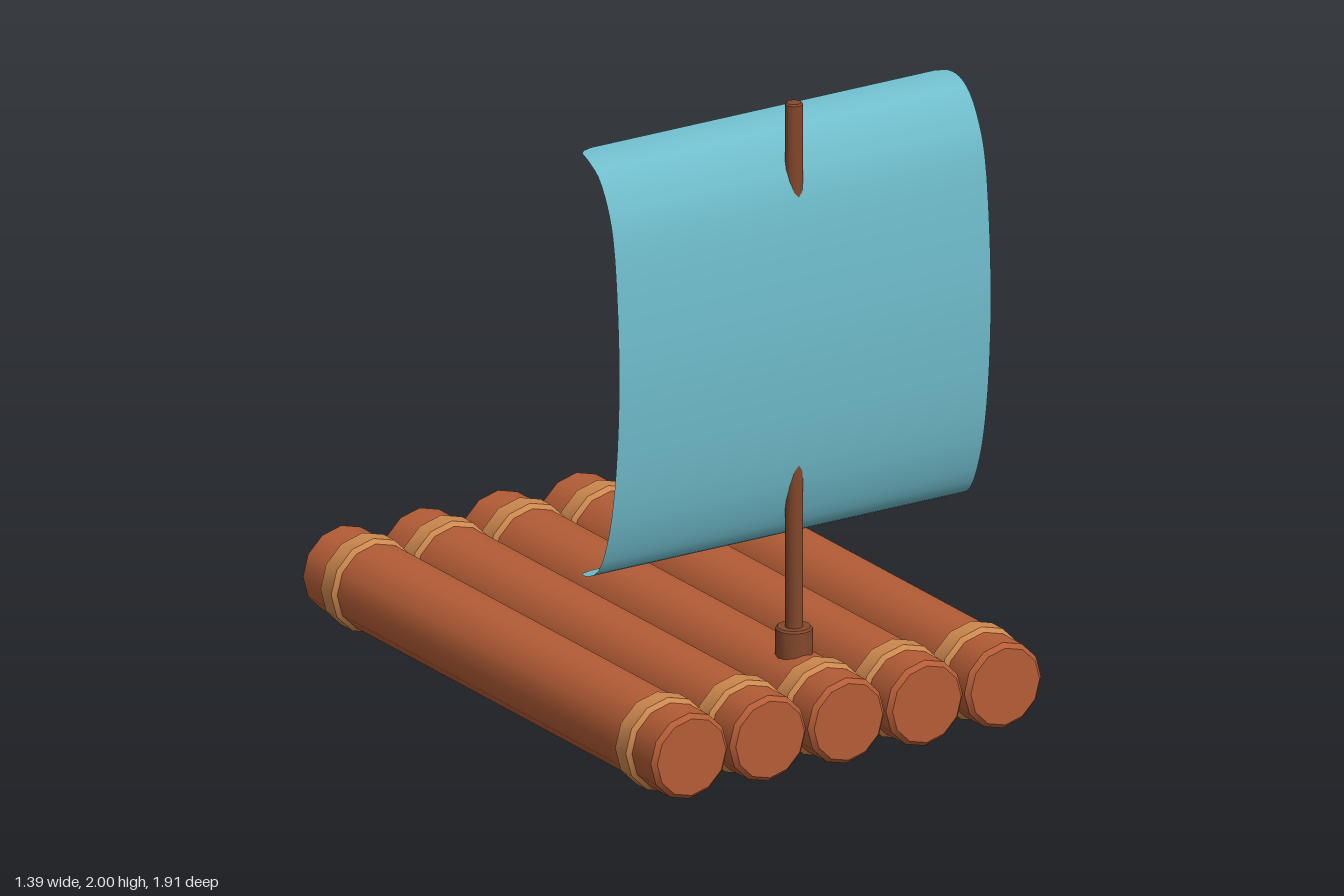
import * as THREE from 'three';
import { toCreasedNormals } from 'three/addons/utils/BufferGeometryUtils.js';

const material = (name, color, side = THREE.FrontSide) => {
  const m = new THREE.MeshStandardMaterial({ color, side });
  m.name = name;
  return m;
};

// Closed round bar along y with bevelled ends, centred on the origin
function bar(radius, length, bevel, sides) {
  const h = length / 2;
  const profile = [
    [0, -h], [radius - bevel, -h], [radius, -h + bevel],
    [radius, h - bevel], [radius - bevel, h], [0, h],
  ].map(([r, y]) => new THREE.Vector2(r, y));
  return toCreasedNormals(new THREE.LatheGeometry(profile, sides), 0.62);
}

// Sail: a sheet whose half-width, height and depth follow one curve
function sailGeometry() {
  const curve = new THREE.CatmullRomCurve3([
    [0.6, 0.602, 0.49], [0.64, 0.603, 0.505], [0.65, 0.61, 0.55], [0.65, 0.645, 0.607],
    [0.65, 0.75, 0.657], [0.65, 0.87, 0.687], [0.65, 1.05, 0.71], [0.65, 1.27, 0.72],
    [0.65, 1.49, 0.712], [0.65, 1.71, 0.687], [0.65, 1.8, 0.657], [0.65, 1.88, 0.607],
    [0.65, 1.915, 0.55], [0.64, 1.924, 0.505], [0.6, 1.926, 0.49],
  ].map((p) => new THREE.Vector3(...p)));
  const geometry = new THREE.PlaneGeometry(2, 1, 2, 42);
  const pos = geometry.attributes.position;
  for (let i = 0; i < pos.count; i++) {
    const p = curve.getPoint(THREE.MathUtils.clamp(pos.getY(i) + 0.5, 0, 1));
    pos.setXYZ(i, pos.getX(i) * p.x, p.y, p.z);
  }
  geometry.computeVertexNormals();
  return geometry;
}

export function createModel() {
  const logWood = material('log wood', 0xb55d36);
  const mastWood = material('mast wood', 0x84482c);
  const rope = material('rope', 0xcd884e);
  const cloth = material('sail cloth', 0x6fbccb, THREE.DoubleSide);

  const raft = new THREE.Group();
  raft.name = 'raft';
  const add = (name, geometry, mat, x, y, z) => {
    const mesh = new THREE.Mesh(geometry, mat);
    mesh.name = name;
    mesh.position.set(x, y, z);
    raft.add(mesh);
    return mesh;
  };

  // Logs, each with a rope band near both ends
  const logGeometry = bar(0.134, 1.91, 0.014, 12).rotateX(Math.PI / 2);
  const bandGeometry = bar(0.147, 0.086, 0.014, 12).rotateX(Math.PI / 2);
  for (let i = -2; i <= 2; i++) {
    const x = i * 0.274;
    add('log', logGeometry, logWood, x, 0.151, 0);
    for (const z of [-0.797, 0.797]) add('ropeBand', bandGeometry, rope, x, 0.151, z);
  }

  // Mast and its socket
  const mastZ = 0.66;
  add('mastSocket', bar(0.056, 0.16, 0.006, 12), mastWood, 0, 0.28, mastZ);
  add('mast', bar(0.027, 1.72, 0.005, 12), mastWood, 0, 1.14, mastZ);

  // Yards crossing behind the sail
  for (const [name, y, z, radius, length] of [
    ['upperYard', 1.483, 0.681, 0.016, 1.05],
    ['lowerYard', 0.9, 0.662, 0.018, 1.15],
  ]) {
    add(name, bar(radius, length, 0.004, 10).rotateZ(Math.PI / 2), mastWood, 0, y, z);
  }

  add('sail', sailGeometry(), cloth, 0, 0, 0);
  return raft;
}
